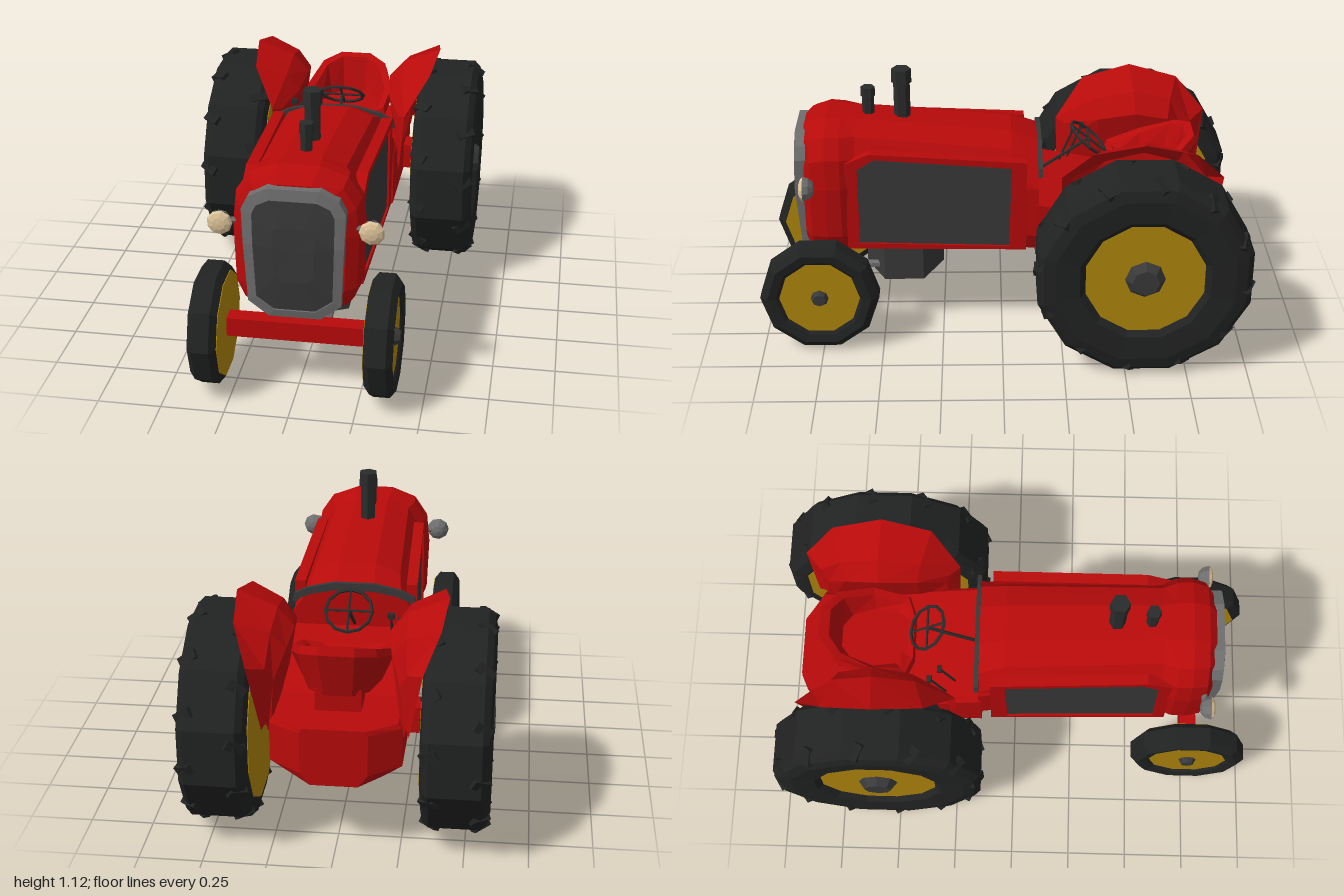
import * as THREE from 'three';

const mat = (name, color, side = THREE.FrontSide) =>
  Object.assign(new THREE.MeshStandardMaterial({ color, side, flatShading: true }), { name });

// Skin through rings of [x, y, z] points, optionally capped at the start and end
function loft(rings, { capStart = false, capEnd = false, closed = true } = {}) {
  const pos = [], n = rings[0].length, last = closed ? n : n - 1;
  const tri = (a, b, c) => pos.push(...a, ...b, ...c);
  for (let r = 0; r + 1 < rings.length; r++)
    for (let i = 0; i < last; i++) {
      const a = rings[r], b = rings[r + 1], j = (i + 1) % n;
      tri(a[i], a[j], b[j]);
      tri(a[i], b[j], b[i]);
    }
  const cap = (ring, flip) => {
    const c = [0, 1, 2].map(k => ring.reduce((s, p) => s + p[k], 0) / n);
    for (let i = 0; i < n; i++) {
      const j = (i + 1) % n;
      flip ? tri(c, ring[j], ring[i]) : tri(c, ring[i], ring[j]);
    }
  };
  if (capStart) cap(rings[0], true);
  if (capEnd) cap(rings[rings.length - 1], false);
  const g = new THREE.BufferGeometry();
  g.setAttribute('position', new THREE.Float32BufferAttribute(pos, 3));
  g.computeVertexNormals();
  return g;
}

// Adds the mirrored left half to a list of right-half points
const mirror = half => [...half, ...half.slice().reverse().map(([x, ...r]) => [-x, ...r])];
const toShape = pts => new THREE.Shape(pts.map(p => new THREE.Vector2(p[0], p[1])));

// Moves each vertex by a rule
function bend(g, rule) {
  const p = g.attributes.position, v = new THREE.Vector3();
  for (let i = 0; i < p.count; i++) {
    rule(v.fromBufferAttribute(p, i));
    p.setXYZ(i, v.x, v.y, v.z);
  }
  g.computeVertexNormals();
  return g;
}

export function createModel() {
  const red = mat('red paint', 0xb80a0a, THREE.DoubleSide);
  const yellow = mat('yellow rim', 0xb0860c);
  const rubber = mat('black rubber', 0x212222);
  const iron = mat('dark iron', 0x2a2b2b);
  const charcoal = mat('charcoal grille', 0x393939);
  const grey = mat('grey metal', 0x6e6e6e);
  const cream = mat('cream lamp glass', 0xdcc298);

  const model = new THREE.Group();
  model.name = 'tractor';
  const add = (parent, name, geo, material, x = 0, y = 0, z = 0) => {
    const m = new THREE.Mesh(geo, material);
    m.name = name;
    m.position.set(x, y, z);
    parent.add(m);
    return m;
  };
  const rod = (parent, name, a, b, r, material, sides = 6) => {
    const A = new THREE.Vector3(...a), B = new THREE.Vector3(...b), d = B.clone().sub(A);
    const m = add(parent, name, new THREE.CylinderGeometry(r, r, d.length(), sides), material);
    m.position.copy(A).add(B).multiplyScalar(0.5);
    m.quaternion.setFromUnitVectors(new THREE.Vector3(0, 1, 0), d.normalize());
    return m;
  };

  // Hood: arched sections from dash to nose [z, halfWidth, top, bottom]
  const hood = [[-0.15, 0.258, 0.82, 0.335], [-0.04, 0.242, 0.865, 0.335], [0.6, 0.222, 0.92, 0.335],
    [0.66, 0.252, 0.925, 0.335], [0.72, 0.255, 0.93, 0.335], [0.785, 0.24, 0.912, 0.34], [0.815, 0.195, 0.885, 0.345]]
    .map(([z, w, t, b]) => mirror([[0.42 * w, b, z], [0.84 * w, b + 0.05, z], [0.97 * w, 0.46, z], [w, 0.68, z],
      [0.95 * w, t - 0.12, z], [0.74 * w, t - 0.04, z], [0.32 * w, t, z]]));
  add(model, 'hood', loft(hood, { capStart: true, capEnd: true }), red);

  // Rear body with sloping floor [z, halfWidth, top, bottom]
  const body = [[-0.905, 0.13, 0.54, 0.3], [-0.83, 0.255, 0.54, 0.31], [-0.6, 0.26, 0.54, 0.33],
    [-0.4, 0.26, 0.58, 0.335], [-0.14, 0.258, 0.63, 0.335]]
    .map(([z, w, t, b]) => mirror([[0.7 * w, b, z], [w, b + 0.05, z], [w, t - 0.02, z], [0.93 * w, t, z]]));
  add(model, 'rearBody', loft(body, { capStart: true, capEnd: true }), red);
  add(model, 'rearAxle', new THREE.BoxGeometry(0.66, 0.11, 0.1), red, 0, 0.445, -0.565);

  // Dash trim following the hood's rear edge
  const dash = toShape([...mirror([[0.258, 0.735], [0.248, 0.77], [0.193, 0.797], [0.085, 0.822]]),
    ...mirror([[0.235, 0.735], [0.225, 0.75], [0.18, 0.77], [0.08, 0.79]]).reverse()]);
  add(model, 'dashTrim', new THREE.ExtrudeGeometry(dash, { depth: 0.018, bevelEnabled: false }), charcoal, 0, 0, -0.166);

  // Grille: bulging grey surround and dark recessed centre
  const bulge = (x, y) => 0.84 + 0.026 * (1 - ((y - 0.65) / 0.3) ** 2) - 0.4 * x * x;
  const outer = mirror([[0.1, 0.338], [0.18, 0.4], [0.192, 0.65], [0.198, 0.79], [0.172, 0.842], [0.1, 0.88]]);
  const inner = mirror([[0.08, 0.37], [0.147, 0.42], [0.155, 0.65], [0.157, 0.775], [0.14, 0.81], [0.09, 0.835]]);
  const onNose = (pts, offset, s = 1) => pts.map(([x, y]) => {
    const X = x * s, Y = 0.62 + (y - 0.62) * s;
    return [X, Y, bulge(X, Y) + offset];
  });
  const outerBack = outer.map(([x, y]) => [x, y, 0.795]);
  add(model, 'grilleSurround', loft([outerBack, onNose(outer, 0), onNose(inner, 0), onNose(inner, -0.012)]), grey);
  add(model, 'grille', loft([onNose(inner, -0.008), onNose(inner, -0.008, 0.5)], { capEnd: true }), charcoal);

  // Engine sump and front axle
  const sump = add(model, 'sump', new THREE.CylinderGeometry(1, 1, 0.16, 6), charcoal, 0, 0.285, 0.415);
  sump.scale.set(0.185, 1, 0.165);
  add(model, 'frontAxle', new THREE.BoxGeometry(0.58, 0.078, 0.07), red, 0, 0.246, 0.755);

  // Exhaust and air intake
  for (const [name, z, r, y0, y1, cap] of [['exhaust', 0.41, 0.034, 0.86, 1.06, 0.06], ['airIntake', 0.55, 0.025, 0.88, 1, 0.04]]) {
    add(model, name, new THREE.CylinderGeometry(r, r, y1 - y0, 6), iron, 0, (y0 + y1) / 2, z);
    add(model, name + 'Cap', new THREE.CylinderGeometry(r * 1.18, r * 1.22, cap, 6), iron, 0, y1 + cap / 2 - 0.01, z);
  }

  // Seat: bucket shell on a pedestal
  const rim = mirror([[0.1, 0.675, -0.42], [0.18, 0.7, -0.45], [0.2, 0.745, -0.6], [0.15, 0.805, -0.75], [0.07, 0.83, -0.81]]);
  const seatRing = (s, lift, y) => rim.map(p => [p[0] * s, y ?? p[1] + lift, -0.58 + (p[2] + 0.58) * s]);
  add(model, 'seat', loft([seatRing(0.78, 0, 0.61), seatRing(1, -0.03), seatRing(0.95, 0), seatRing(0.8, -0.01),
    seatRing(0.64, 0, 0.665)], { capStart: true, capEnd: true }), red);
  add(model, 'seatPedestal', new THREE.BoxGeometry(0.18, 0.14, 0.14), red, 0, 0.56, -0.68);

  // Steering wheel, column and levers
  const steering = new THREE.Group();
  steering.name = 'steeringWheel';
  steering.position.set(0, 0.79, -0.365);
  steering.rotation.x = -Math.PI / 2 - 0.7;
  add(steering, 'steeringRing', new THREE.TorusGeometry(0.094, 0.007, 5, 12), iron);
  rod(steering, 'spoke', [-0.09, 0, 0], [0.09, 0, 0], 0.005, iron, 5);
  rod(steering, 'spoke', [0, -0.09, 0], [0, 0.09, 0], 0.005, iron, 5);
  model.add(steering);
  rod(model, 'steeringColumn', [0, 0.79, -0.365], [0, 0.64, -0.15], 0.007, iron);
  for (const [x, z] of [[-0.21, -0.35], [-0.165, -0.31]]) {
    rod(model, 'lever', [x, 0.58, z + 0.07], [x, 0.75, z], 0.005, iron, 5);
    add(model, 'leverKnob', new THREE.BoxGeometry(0.028, 0.02, 0.02), iron, x, 0.75, z);
  }

  // Tyre, rim, inner disc and hub about the x axis, centred on the origin
  function wheel(name, sides, phase, half, profile, rimR, rimHalf, discR, hubR) {
    const g = new THREE.Group();
    g.name = name;
    const pts = [...profile.map(([r, x]) => new THREE.Vector2(r, -x)),
      ...profile.slice().reverse().map(([r, x]) => new THREE.Vector2(r, x))];
    const turn = geo => geo.rotateZ(-Math.PI / 2);
    const drum = (r, width) => turn(new THREE.CylinderGeometry(r, r, width, sides, 1, false, phase));
    add(g, 'tyre', turn(new THREE.LatheGeometry(pts, sides, phase)), rubber);
    add(g, 'rim', drum(rimR, rimHalf * 2), yellow);
    add(g, 'innerDisc', drum(discR, 0.008), yellow, 0.002 - half);
    add(g, 'hub', turn(new THREE.CylinderGeometry(hubR * 0.65, hubR, half - rimHalf + 0.01, 8)), charcoal, (half + rimHalf) / 2);
    return g;
  }

  // Paired parts, built on the +x side and mirrored
  for (const s of [1, -1]) {
    const side = new THREE.Group();
    side.name = s > 0 ? 'leftSide' : 'rightSide';
    side.scale.x = s;
    model.add(side);

    const rear = wheel('rearWheel', 12, Math.PI / 12, 0.135,
      [[0.24, 0.1], [0.27, 0.126], [0.37, 0.135], [0.418, 0.125], [0.443, 0.1]], 0.255, 0.105, 0.36, 0.085);
    rear.position.set(0.46, 0.437, -0.565);
    // Low chevron lugs wrapped over the tyre shoulders
    for (let i = 0; i < 24; i++) {
      const pivot = new THREE.Group(), k = i % 2 ? 1 : -1;
      pivot.name = 'treadLug';
      pivot.rotation.x = ((i + 0.5) / 24) * Math.PI * 2;
      const lug = add(pivot, 'lug', new THREE.BoxGeometry(0.075, 0.026, 0.04), rubber, k * 0.096, 0.417, 0);
      lug.rotation.set(0, k * 0.5, -k * 0.45);
      rear.add(pivot);
    }
    side.add(rear);

    const front = wheel('frontWheel', 10, 0, 0.057,
      [[0.16, 0.035], [0.18, 0.05], [0.215, 0.057], [0.246, 0.033]], 0.172, 0.04, 0.212, 0.04);
    front.position.set(0.338, 0.245, 0.755);
    side.add(front);

    // Fender: flared lip, shoulder and inner wall meeting the body
    const lip = [[0.27, 0.5, -0.25], [0.29, 0.75, -0.24], [0.385, 0.9, -0.36], [0.41, 0.95, -0.565],
      [0.39, 0.9, -0.77], [0.33, 0.77, -0.89], [0.28, 0.5, -0.86]];
    const wall = [[0.26, 0.48, -0.27], [0.245, 0.68, -0.3], [0.2, 0.78, -0.42], [0.185, 0.81, -0.58],
      [0.2, 0.78, -0.72], [0.24, 0.68, -0.8], [0.26, 0.48, -0.82]];
    const shoulder = lip.map((p, i) => p.map((v, k) => v + (wall[i][k] - v) * 0.7 + (k === 1 ? 0.035 : 0)));
    const foot = wall.map(p => [0.25, 0.48, p[2]]);
    add(side, 'fender', loft([lip, shoulder, wall, foot], { closed: false }), red);

    // Hood side frame with a recessed dark panel
    const opening = [[-0.59, 0.425], [0.03, 0.415], [0.04, 0.775], [-0.52, 0.81], [-0.59, 0.765]];
    const panelFrame = toShape([[-0.64, 0.4], [0.1, 0.4], [0.1, 0.8], [-0.54, 0.835], [-0.64, 0.79]]);
    panelFrame.holes.push(toShape(opening));
    const place = (shape, depth, inset) => bend(
      new THREE.ExtrudeGeometry(shape, { depth, bevelEnabled: false }).rotateY(Math.PI / 2),
      v => { v.x += 0.255 - 0.024 * (v.z + 0.1) - inset - depth; });
    add(side, 'hoodSideFrame', place(panelFrame, 0.045, 0), red);
    add(side, 'hoodSidePanel', place(toShape(opening), 0.008, 0.009), charcoal);

    // Headlight on a short bracket
    rod(side, 'lampBracket', [0.23, 0.71, 0.78], [0.28, 0.71, 0.78], 0.012, grey);
    const dome = new THREE.SphereGeometry(0.05, 9, 3, 0, Math.PI * 2, 0, Math.PI / 2).rotateX(Math.PI / 2);
    add(side, 'lampGlass', dome, cream, 0.29, 0.707, 0.805).scale.z = 0.4;
    add(side, 'lampShell', dome.clone().rotateY(Math.PI), grey, 0.29, 0.707, 0.805).scale.z = 0.9;

    rod(side, 'axleStay', [0.1, 0.25, 0.5], [0.1, 0.24, 0.73], 0.018, grey);
  }
  return model;
}
